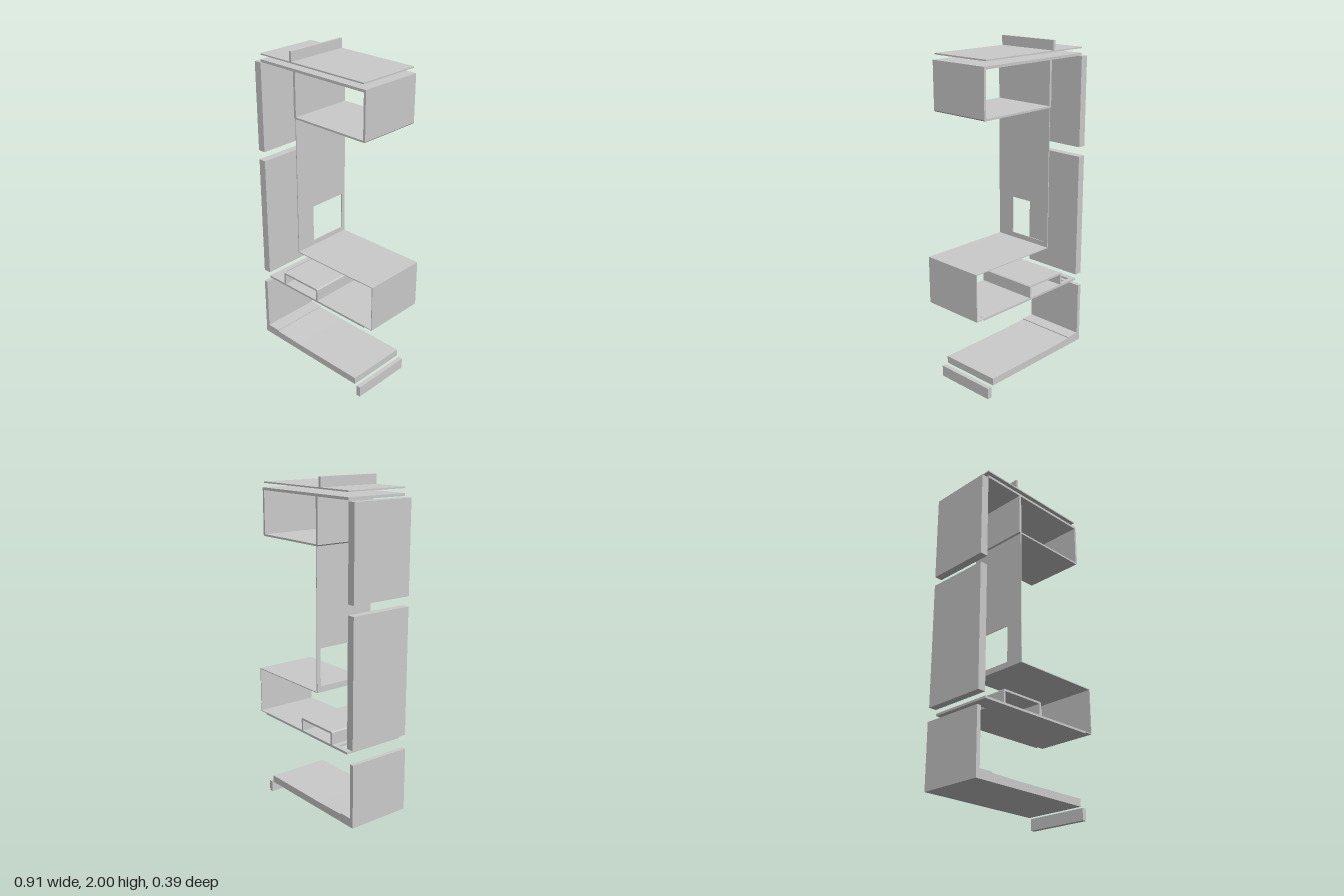
import * as THREE from 'three';

const DEPTH = 0.39;
const HALF = DEPTH / 2;
const material = new THREE.MeshStandardMaterial({ color: 0xcccccc, flatShading: true });

// Extrudes a front (x, y) outline through the full depth.
function profile(name, points) {
  const shape = new THREE.Shape(points.map(([x, y]) => new THREE.Vector2(x, y)));
  const geometry = new THREE.ExtrudeGeometry(shape, { depth: DEPTH, bevelEnabled: false });
  geometry.translate(0, 0, -HALF);
  const mesh = new THREE.Mesh(geometry, material);
  mesh.name = name;
  return mesh;
}

// Full-depth slab between two x and two y values.
const slab = (name, x0, x1, y0, y1) => profile(name, [[x0, y0], [x1, y0], [x1, y1], [x0, y1]]);

// Flat plate in (u, v) with one rectangular cut-out, extruded by its thickness.
function cutPlate(name, [u0, u1, v0, v1], [a0, a1, b0, b1], thickness) {
  const rect = (P, l, r, b, t) => new P([[l, b], [r, b], [r, t], [l, t]].map(([x, y]) => new THREE.Vector2(x, y)));
  const shape = rect(THREE.Shape, u0, u1, v0, v1);
  shape.holes.push(rect(THREE.Path, a0, a1, b0, b1));
  const mesh = new THREE.Mesh(new THREE.ExtrudeGeometry(shape, { depth: thickness, bevelEnabled: false }), material);
  mesh.name = name;
  return mesh;
}

export function createModel() {
  const model = new THREE.Group();
  model.name = 'explodedCabinet';

  // Top: fin, thin cover sheet and board
  model.add(
    slab('topFin', -0.168, -0.153, 1.944, 2.0),
    slab('coverSheet', -0.4, 0.365, 1.936, 1.944),
    slab('topBoard', -0.4, 0.38, 1.895, 1.91),
  );

  // Upper compartment: U-shaped channel hanging below the top board
  model.add(profile('upperCompartment', [
    [-0.142, 1.895], [-0.142, 1.637], [-0.135, 1.63], [0.373, 1.63], [0.38, 1.637], [0.38, 1.895],
    [0.366, 1.895], [0.366, 1.641], [-0.127, 1.641], [-0.127, 1.895],
  ]));

  // Thin upright divider with a window (local x runs along -z)
  const divider = cutPlate('divider', [-HALF, HALF, 0.795, 1.632], [-0.085, 0.17, 0.83, 1.055], 0.005);
  divider.rotation.y = Math.PI / 2;
  divider.position.x = -0.133;
  model.add(divider);

  // Thin lower casing: shelf, end wall and return lip
  model.add(profile('lowerCasing', [
    [-0.133, 0.795], [0.447, 0.795], [0.447, 0.522], [0.39, 0.522], [0.39, 0.517],
    [0.452, 0.517], [0.452, 0.8], [-0.133, 0.8],
  ]));

  // Lower board with a slot (local y runs along -z)
  const board = cutPlate('lowerBoard', [-0.4, 0.395, -HALF, HALF], [-0.365, -0.295, -0.085, 0.17], 0.013);
  board.rotation.x = -Math.PI / 2;
  board.position.y = 0.51;
  model.add(board);

  // Low bridge standing on the lower board
  model.add(profile('bridge', [
    [-0.266, 0.523], [-0.254, 0.523], [-0.254, 0.588], [0.008, 0.588], [0.008, 0.523],
    [0.02, 0.523], [0.02, 0.594], [0.014, 0.6], [-0.26, 0.6], [-0.266, 0.594],
  ]));

  // Side panels
  model.add(
    slab('upperSidePanel', -0.45, -0.402, 1.358, 1.89),
    slab('middleSidePanel', -0.45, -0.402, 0.545, 1.3),
  );

  // L-shaped base with a small step and a slight slope
  model.add(profile('base', [
    [-0.455, 0.08], [-0.26, 0.078], [0.33, 0.072], [0.33, 0.116], [-0.15, 0.12],
    [-0.345, 0.126], [-0.345, 0.132], [-0.43, 0.133], [-0.43, 0.462], [-0.455, 0.462],
  ]));

  // Foot strip
  model.add(slab('footStrip', 0.345, 0.372, 0, 0.068));

  return model;
}
